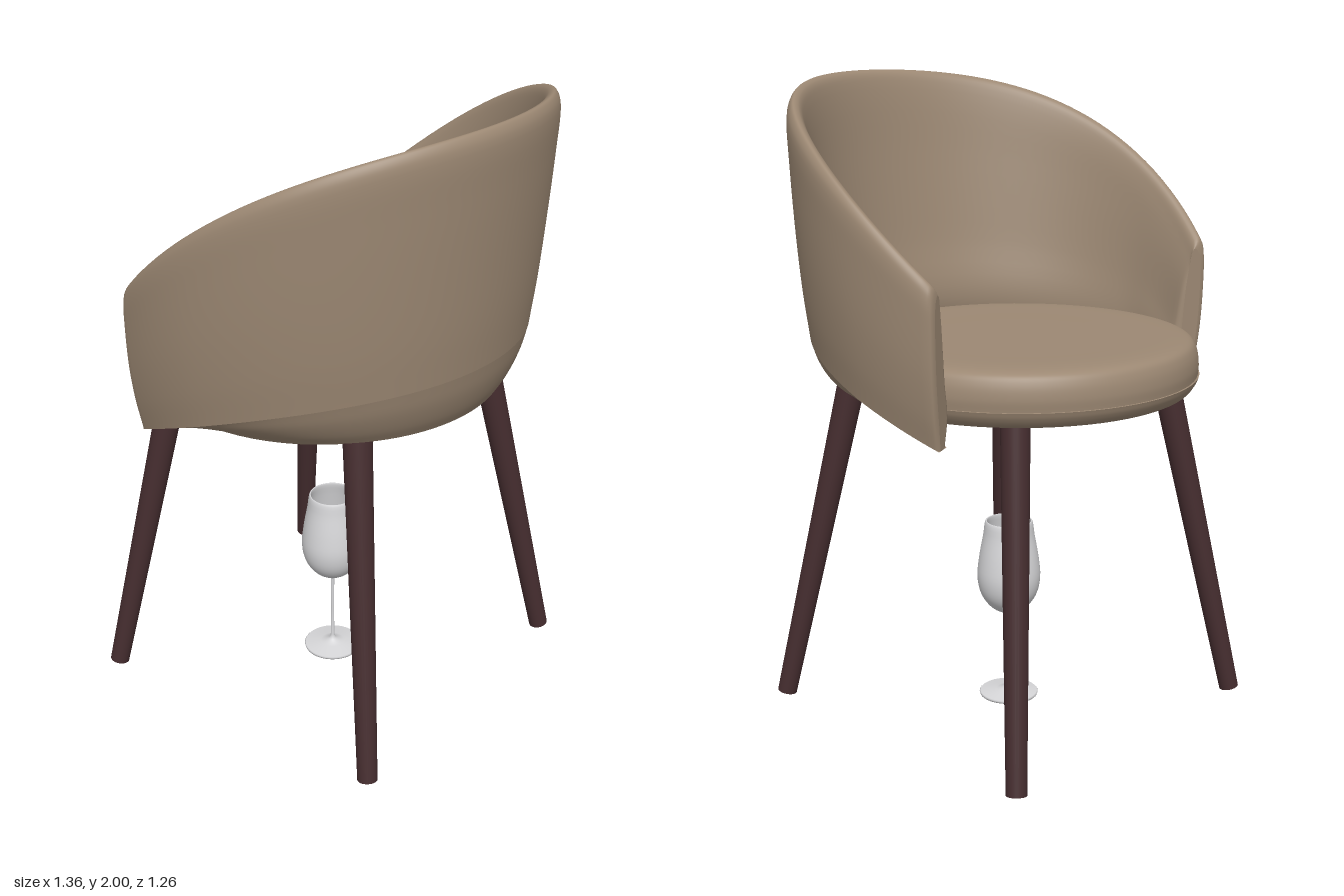
import * as THREE from 'three';

const upholstery = new THREE.MeshStandardMaterial({ color: 0x9c8873, side: THREE.DoubleSide });
upholstery.name = 'taupe upholstery';
const wood = new THREE.MeshStandardMaterial({ color: 0x452d2f });
wood.name = 'dark wood';
const glass = new THREE.MeshStandardMaterial({ color: 0xd6d6d8, side: THREE.DoubleSide });
glass.name = 'pale glass';

const SHELL_Z = -0.045, SWEEP = 2.0, STEPS = 72;

// Sweep angles, with extra ones close to the rounded ends
const ends = [0.004, 0.012, 0.024].map(d => SWEEP - d);
const angles = [...ends, ...ends.map(a => -a)];
for (let i = 0; i <= STEPS; i++) angles.push(SWEEP * (2 * i / STEPS - 1));
angles.sort((a, b) => a - b);

function add(parent, name, geometry, material) {
  const mesh = new THREE.Mesh(geometry, material);
  mesh.name = name;
  parent.add(mesh);
  return mesh;
}

function smooth(points, count) {
  const curve = new THREE.CatmullRomCurve3(points.map(([r, y]) => new THREE.Vector3(r, y, 0)));
  return curve.getPoints(count).map(p => new THREE.Vector2(p.x, p.y));
}

function build(positions, indices) {
  const g = new THREE.BufferGeometry();
  g.setAttribute('position', new THREE.Float32BufferAttribute(positions, 3));
  g.setIndex(indices);
  g.computeVertexNormals();
  return g;
}

const polar = (p, a) => [p.x * Math.sin(a), p.y, SHELL_Z + p.x * Math.cos(a)];

// Edge heights and radii of the wraparound back at angle a from the rear
function edges(a) {
  const z = SHELL_Z + 0.655 * Math.cos(a);
  const rear = Math.max(0, Math.cos(a));
  const top = 1.725 + 0.697 * z - 0.404 * z * z;
  const bottom = 1.13 + 0.345 * z - 0.2 * z * z;
  return {
    top, bottom, rear, low: Math.min(1.08, bottom),
    seamR: 0.637 - 0.017 * rear,
    footR: 0.55 + 0.07 * Math.max(0, -Math.cos(a)),
  };
}

// Padded section: up the outside, over the rim, down the inside
function backSection(a) {
  const { top, bottom, low, rear, seamR, footR } = edges(a);
  const h = top - bottom, hi = top - low;
  const points = smooth([
    [seamR, bottom], [0.657 - 0.02 * rear, bottom + 0.2 * h], [0.672 - 0.019 * rear, bottom + 0.45 * h],
    [0.678 - 0.008 * rear, bottom + 0.75 * h], [0.677, top - 0.05], [0.67, top - 0.016], [0.657, top],
    [0.638, top - 0.01], [0.62, top - 0.06], [0.598 - 0.013 * rear, low + 0.7 * hi],
    [0.575 - 0.037 * rear, low + 0.4 * hi], [0.556 - 0.055 * rear, low + 0.18 * hi], [footR, low],
  ], 60);
  // Round over the two ends
  const t = Math.max(0, 1 - (SWEEP - Math.abs(a)) / 0.03);
  const inset = 0.02 * (1 - Math.sqrt(1 - t * t));
  const centre = new THREE.Vector2(0.615, (top + low) / 2);
  points.forEach(p => {
    p.x -= inset * THREE.MathUtils.clamp((p.x - centre.x) / 0.04, -1, 1);
    p.y -= inset * Math.max(0, (p.y - centre.y) / (top - centre.y));
  });
  return points;
}

// Undercut section below the seam
function lowerSection(a) {
  const { bottom, low, seamR, footR } = edges(a);
  const d = bottom - low, w = seamR - footR;
  return smooth([[footR, low], [footR + 0.38 * w, low + 0.25 * d],
    [footR + 0.76 * w, low + 0.62 * d], [seamR, bottom]], 12);
}

// Sweep a varying section around the seat
function sweep(section) {
  const positions = [], indices = [];
  let n = 0;
  for (const a of angles) {
    const pts = section(a);
    n = pts.length;
    pts.forEach(p => positions.push(...polar(p, a)));
  }
  for (let i = 0; i < angles.length - 1; i++) {
    for (let j = 0; j < n - 1; j++) {
      const p = i * n + j, q = p + n;
      indices.push(p, q, q + 1, p, q + 1, p + 1);
    }
  }
  return build(positions, indices);
}

// Flat end of the back
function endCap(side) {
  const a = side * SWEEP, pts = backSection(a), { top, low } = edges(a);
  const positions = polar(new THREE.Vector2(0.615, (top + low) / 2), a), indices = [];
  pts.forEach(p => positions.push(...polar(p, a)));
  for (let j = 0; j < pts.length; j++) {
    const p = j + 1, q = (j + 1) % pts.length + 1;
    indices.push(0, ...(side < 0 ? [p, q] : [q, p]));
  }
  return build(positions, indices);
}

export function createModel() {
  const model = new THREE.Group();
  model.name = 'chairWithGlass';

  // Wraparound back
  const back = new THREE.Group();
  back.name = 'backrest';
  model.add(back);
  add(back, 'backPadding', sweep(backSection), upholstery);
  add(back, 'lowerPanel', sweep(lowerSection), upholstery);
  add(back, 'leftEnd', endCap(1), upholstery);
  add(back, 'rightEnd', endCap(-1), upholstery);

  // Round seat: cushion over a shallow pan
  const cushion = smooth([[0.555, 1.105], [0.557, 1.14], [0.55, 1.18], [0.535, 1.206],
    [0.5, 1.218], [0.3, 1.222], [0, 1.223]], 36);
  const pan = smooth([[0.49, 1.047], [0.53, 1.058], [0.552, 1.085], [0.56, 1.105]], 12);
  const lip = [new THREE.Vector2(0.56, 1.105), new THREE.Vector2(0.54, 1.107)];
  const underside = [new THREE.Vector2(0, 1.045), new THREE.Vector2(0.49, 1.047)];
  const seatParts = { seatCushion: cushion, seatPan: pan, seatLip: lip, seatUnderside: underside };
  for (const [name, pts] of Object.entries(seatParts)) {
    add(model, name, new THREE.LatheGeometry(pts, 72), upholstery).position.z = -0.072;
  }

  // Four splayed legs
  for (const sx of [-1, 1]) {
    for (const sz of [-1, 1]) {
      const foot = new THREE.Vector3(sx * 0.515, 0.014, -0.03 + sz * 0.517);
      const head = new THREE.Vector3(sx * 0.345, 1.07, -0.03 + sz * 0.35);
      const axis = head.clone().sub(foot);
      const leg = add(model, (sz > 0 ? 'rear' : 'front') + (sx > 0 ? 'Left' : 'Right') + 'Leg',
        new THREE.CylinderGeometry(0.044, 0.031, axis.length(), 28), wood);
      leg.position.copy(foot).add(head).multiplyScalar(0.5);
      leg.quaternion.setFromUnitVectors(new THREE.Vector3(0, 1, 0), axis.normalize());
    }
  }

  // Stemmed glass standing under the seat
  const bowl = smooth([[0.006, 0.27], [0.02, 0.283], [0.06, 0.308], [0.09, 0.35], [0.102, 0.405],
    [0.097, 0.47], [0.083, 0.55], [0.075, 0.597], [0.071, 0.597], [0.079, 0.55], [0.093, 0.47],
    [0.097, 0.405], [0.085, 0.352], [0.055, 0.313], [0, 0.29]], 56);
  const base = [[0, 0], [0.094, 0], [0.096, 0.006], [0.093, 0.009], [0.04, 0.015], [0.012, 0.024],
    [0.006, 0.04], [0.005, 0.15]].map(([r, y]) => new THREE.Vector2(r, y));
  add(model, 'wineGlass', new THREE.LatheGeometry([...base, ...bowl], 48), glass).position.z = -0.03;

  return model;
}
